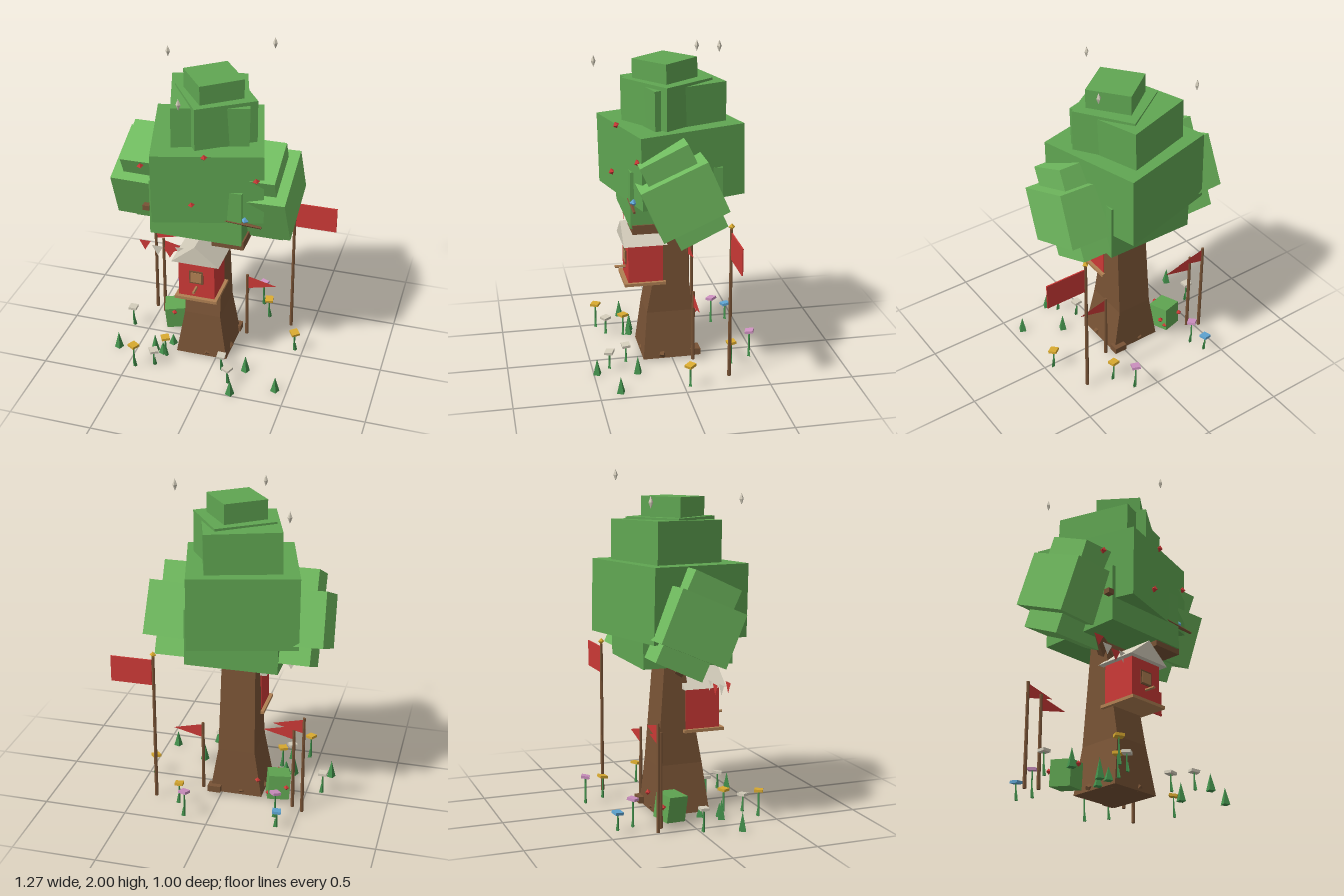
import * as THREE from 'three';

const paint = (name, color, side = THREE.FrontSide) => {
  const m = new THREE.MeshStandardMaterial({ color, side });
  m.name = name;
  m.flatShading = true;
  return m;
};

export function createModel() {
  const model = new THREE.Group();
  const leaf = paint('leaf green', 0x60a652);
  const lightLeaf = paint('light leaf green', 0x70bb5f);
  const bark = paint('bark brown', 0x785335);
  const red = paint('cloth red', 0xcb3936, THREE.DoubleSide);
  const cream = paint('cream', 0xd3ccba, THREE.DoubleSide);
  const gold = paint('gold', 0xd8a92f);
  const pink = paint('petal pink', 0xcd90c0);
  const blue = paint('petal blue', 0x5fa5d3);
  const grass = paint('grass green', 0x43914c);
  const trim = paint('light wood', 0xb08052);

  const add = (name, geo, mat, p, r = [0, 0, 0]) => {
    const m = new THREE.Mesh(geo, mat);
    m.name = name;
    m.position.set(...p);
    m.rotation.set(...r);
    model.add(m);
    return m;
  };
  const box = (name, mat, size, p, r) => add(name, new THREE.BoxGeometry(...size), mat, p, r);
  const cone = (name, mat, r, h, n, p, rot) => add(name, new THREE.ConeGeometry(r, h, n), mat, p, rot);
  const triangle = (name, mat, pts, p) => {
    const s = new THREE.Shape(pts.map(([x, y]) => new THREE.Vector2(x, y)));
    return add(name, new THREE.ShapeGeometry(s), mat, p);
  };
  // tapered beam between two points
  const beam = (name, mat, a, b, r0, r1, n = 5) => {
    const A = new THREE.Vector3(...a), B = new THREE.Vector3(...b);
    const d = B.clone().sub(A);
    const m = add(name, new THREE.CylinderGeometry(r1, r0, d.length(), n), mat, A.add(B).multiplyScalar(0.5).toArray());
    m.quaternion.setFromUnitVectors(new THREE.Vector3(0, 1, 0), d.normalize());
    return m;
  };

  // Canopy: stacked, turned blocks around the trunk axis
  const cx = -0.09;
  box('canopyMain', leaf, [0.635, 0.425, 0.65], [cx, 1.27, -0.012], [0.02, 0.26, 0]);
  box('canopyLower', leaf, [0.55, 0.34, 0.54], [cx, 1.08, 0]);
  box('canopyUpper', leaf, [0.44, 0.33, 0.46], [cx, 1.555, -0.03], [0.02, 0.3, -0.02]);
  box('canopyCrownBase', leaf, [0.37, 0.25, 0.37], [-0.04, 1.61, 0.015], [0, -0.97, 0]);
  box('canopyCrown', leaf, [0.265, 0.25, 0.265], [-0.05, 1.725, 0.025], [0.015, -0.92, 0]);
  for (const s of [1, -1]) {
    const side = s > 0 ? 'Left' : 'Right', lift = s > 0 ? 0 : 0.025;
    box('canopyTall' + side, lightLeaf, [0.34, 0.55, 0.3], [cx + s * 0.285, 1.14 + lift, -0.01], [0.44, 0, 0]);
    box('canopySide' + side, lightLeaf, [0.28, 0.32, 0.41], [cx + s * 0.382, 1.13 + lift, -0.005], [0.41, 0, s * 0.03]);
  }

  // Trunk: square section flaring at the foot, back face leaning less than the front
  const rings = [[0.012, 0.16, -0.14, 0.18], [0.3, 0.112, -0.125, 0.15], [0.62, 0.106, -0.1, 0.09], [0.95, 0.1, -0.075, 0.03]];
  const trunk = new THREE.BoxGeometry(2, 3, 2, 1, 3, 1), tp = trunk.attributes.position;
  for (let i = 0; i < tp.count; i++) {
    const [y, half, back, front] = rings[Math.round(tp.getY(i) + 1.5)];
    tp.setXYZ(i, tp.getX(i) * half, y, tp.getZ(i) > 0 ? front : back);
  }
  add('trunk', trunk, bark, [cx, 0, 0]);
  // Roots and branches
  for (let i = 0; i < 6; i++) {
    const a = i * Math.PI / 3 + 0.3, c = Math.cos(a), s = Math.sin(a);
    beam('root', bark, [cx + c * 0.08, 0.08, 0.02 + s * 0.08], [cx + c * 0.17, 0.025, 0.02 + s * 0.16], 0.035, 0.02);
  }
  box('rootBlock', bark, [0.08, 0.04, 0.06], [0.04, 0.04, -0.14]);
  for (const s of [1, -1]) {
    beam('branch', bark, [cx, 0.76, 0], [cx + s * 0.17, 0.95, 0.04], 0.05, 0.035);
  }
  box('branchBlock', bark, [0.19, 0.055, 0.16], [0.1, 0.905, 0.18]);
  beam('twig', bark, [0.08, 1.065, 0.26], [0.3, 1.05, 0.265], 0.014, 0.008);
  box('twigEnd', bark, [0.04, 0.03, 0.04], [-0.385, 1.075, 0.26]);
  add('bird', new THREE.OctahedronGeometry(0.024), blue, [0.2, 1.075, 0.255]);

  // Little house with a gabled roof on the trunk
  box('houseWalls', red, [0.22, 0.25, 0.21], [cx, 0.62, 0.155]);
  const gable = new THREE.Shape([[-0.145, 0], [0.145, 0], [0, 0.12]].map(p => new THREE.Vector2(...p)));
  add('roof', new THREE.ExtrudeGeometry(gable, { depth: 0.26, bevelEnabled: false }), cream, [cx, 0.745, 0.03]);
  box('houseFloor', trim, [0.26, 0.018, 0.25], [cx, 0.495, 0.16]);
  box('windowFrame', bark, [0.085, 0.085, 0.008], [cx, 0.64, 0.262]);
  box('windowPane', trim, [0.065, 0.065, 0.008], [cx, 0.64, 0.265]);
  beam('perch', trim, [cx, 0.57, 0.25], [cx, 0.57, 0.325], 0.009, 0.009, 5);

  // Banner and pennants on poles
  const pole = (x, z, h) => beam('pole', bark, [x, 0.015, z], [x, h, z], 0.011, 0.009, 6);
  pole(0.37, -0.28, 0.94);
  add('poleTip', new THREE.OctahedronGeometry(0.02), gold, [0.37, 0.955, -0.28]);
  box('banner', red, [0.25, 0.16, 0.008], [0.505, 0.84, -0.28]);
  for (const [x, z, h] of [[-0.52, -0.24, 0.64], [-0.455, -0.2, 0.57], [0.12, -0.115, 0.46]]) {
    pole(x, z, h);
    triangle('pennant', red, [[0, -0.1], [0.185, -0.055], [0, -0.01]], [x, h, z]);
  }
  // Bunting
  [[-0.42, 0.815], [-0.345, 0.785], [-0.272, 0.775], [-0.205, 0.785]].forEach(([x, y], i) =>
    triangle('bunting', i % 2 ? cream : red, [[-0.036, 0], [0, -0.065], [0.036, 0]], [x, y, 0.22 - i * 0.008]));

  // Fruit
  for (const p of [[-0.02, 1.475, 0.315], [-0.42, 1.33, 0.25], [0.26, 1.33, 0.24], [-0.09, 1.175, 0.335]]) {
    add('fruit', new THREE.OctahedronGeometry(0.021), red, p, [0.3, 0.4, 0]);
  }
  // Floating sparkles
  for (const p of [[0.235, 1.965, -0.225], [-0.41, 1.835, -0.24], [-0.125, 1.83, 0.425]]) {
    add('sparkle', new THREE.OctahedronGeometry(0.035), cream, p).scale.set(0.4, 1, 0.4);
  }

  // Bush with berries
  box('bush', leaf, [0.13, 0.15, 0.13], [-0.345, 0.1, -0.1], [0.1, 0.3, 0.05]);
  for (const p of [[-0.24, 0.165, -0.2], [-0.41, 0.12, -0.17], [-0.33, 0.15, -0.02], [-0.3, 0.07, -0.17]]) {
    add('berry', new THREE.OctahedronGeometry(0.018), red, p);
  }
  // Flowers: thin stem, leaf and square head
  const flowers = [
    [-0.41, -0.44, 0.12, blue], [-0.38, -0.34, 0.18, pink], [0.14, -0.46, 0.18, pink],
    [0.21, -0.33, 0.15, gold], [0.45, -0.03, 0.145, gold], [0.14, 0.4, 0.12, cream],
    [0.07, 0.29, 0.12, cream], [-0.34, 0.355, 0.12, cream], [-0.45, 0.405, 0.17, gold],
    [-0.6, 0, 0.15, cream], [-0.3, 0.25, 0.15, gold]];
  flowers.forEach(([x, z, h, mat], i) => {
    beam('stem', grass, [x, 0.015, z], [x, h, z], 0.007, 0.005, 4);
    cone('stemLeaf', grass, 0.012, 0.06, 3, [x + 0.008, 0.045, z]);
    box('flowerHead', mat, [0.05, 0.016, 0.05], [x, h, z], [0.1, i * 0.5 + 0.2, 0.08]);
  });
  // Grass tufts
  for (const [x, z, h] of [[-0.615, 0.23, 0.11], [-0.385, 0.2, 0.12], [-0.33, 0.21, 0.08], [0.21, 0.24, 0.11],
    [0.43, 0.375, 0.1], [0.18, 0.48, 0.1], [-0.3, 0.1, 0.07]]) {
    cone('grassTuft', grass, 0.028, h, 4, [x, h / 2, z], [0, 0.4, 0]);
  }
  return model;
}
